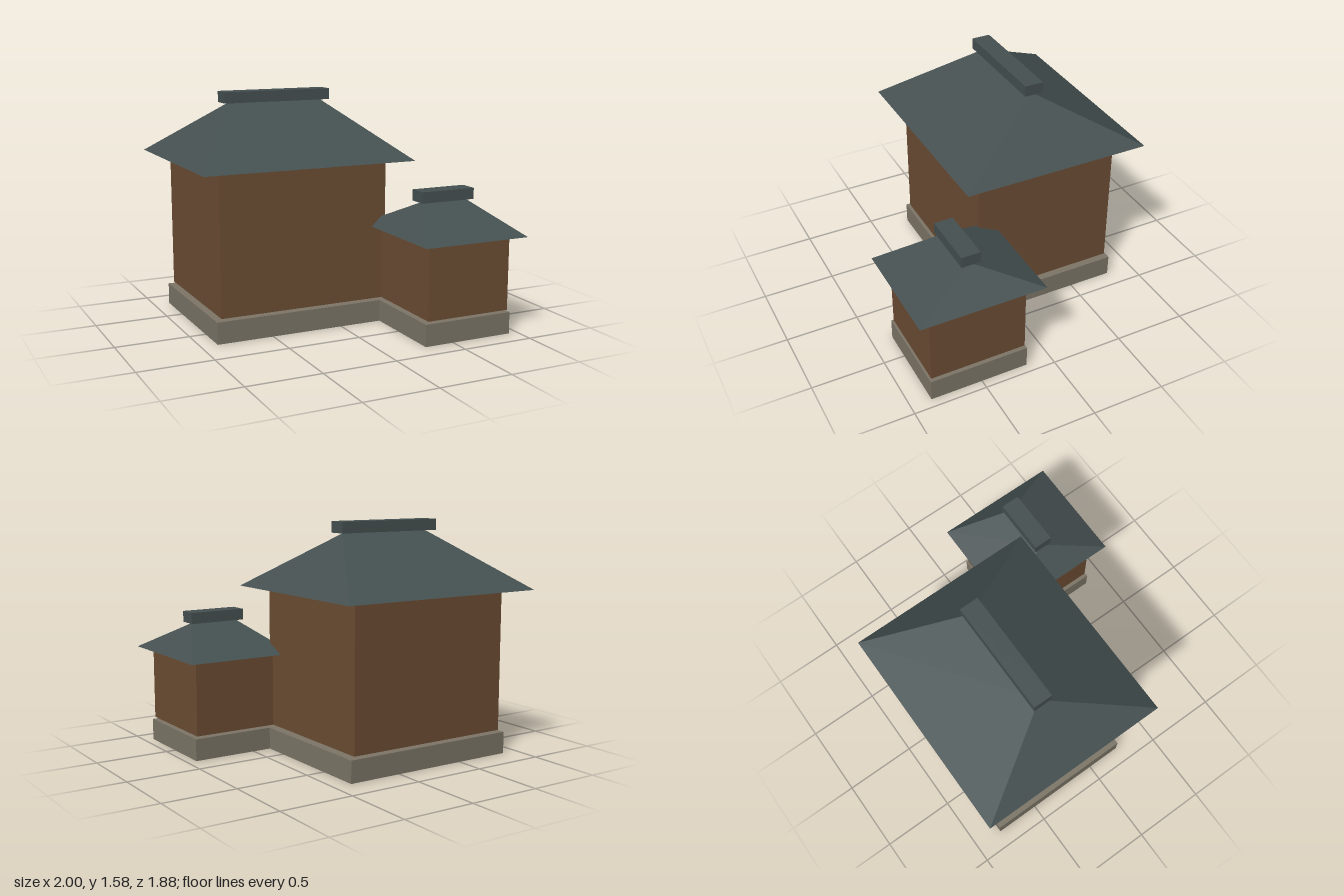
import * as THREE from 'three';

const mat = (name, color) =>
  new THREE.MeshStandardMaterial({ name, color, flatShading: true, side: THREE.DoubleSide });

// Box given by its limits on each axis; open boxes have no bottom face
function box(name, material, [x0, x1], [y0, y1], [z0, z1], open = false) {
  const geo = new THREE.BoxGeometry(x1 - x0, y1 - y0, z1 - z0);
  if (open) {
    const index = Array.from(geo.index.array);
    index.splice(18, 6);
    geo.setIndex(index);
    geo.clearGroups();
  }
  geo.translate((x0 + x1) / 2, (y0 + y1) / 2, (z0 + z1) / 2);
  const mesh = new THREE.Mesh(geo, material);
  mesh.name = name;
  return mesh;
}

// Hipped roof shell: four slopes rising from the eaves to a ridge along x
function hipRoof(name, material, [x0, x1], [y0, y1], [z0, z1], [r0, r1]) {
  const zm = (z0 + z1) / 2;
  const fl = [x0, y0, z1], fr = [x1, y0, z1], br = [x1, y0, z0], bl = [x0, y0, z0];
  const rl = [r0, y1, zm], rr = [r1, y1, zm];
  const faces = [
    fl, fr, rr, fl, rr, rl, // front
    br, bl, rl, br, rl, rr, // back
    fr, br, rr, // +x hip
    bl, fl, rl, // -x hip
  ];
  const geo = new THREE.BufferGeometry();
  geo.setAttribute('position', new THREE.Float32BufferAttribute(faces.flat(), 3));
  geo.computeVertexNormals();
  const mesh = new THREE.Mesh(geo, material);
  mesh.name = name;
  return mesh;
}

function house(name, m, d) {
  const g = new THREE.Group();
  g.name = name;
  g.add(
    box('foundation', m.stone, d.base.x, [0, 0.148], d.base.z, true),
    box('walls', m.wood, d.wall.x, [0.163, d.eave], d.wall.z),
    hipRoof('roof', m.slate, d.roof.x, [d.eave, d.peak], d.roof.z, d.ridge),
    box('ridgeCap', m.slate, d.cap.x, [d.peak + 0.003, d.peak + 0.078], d.cap.z, true),
  );
  return g;
}

export function createModel() {
  const m = {
    stone: mat('stone', 0x7c7567),
    wood: mat('brown wood', 0x6c4d33),
    slate: mat('slate roof', 0x455051),
  };
  const model = new THREE.Group();
  model.name = 'twoHouses';

  const main = house('mainHouse', m, {
    base: { x: [-0.888, 0.373], z: [-0.806, 0.238] },
    wall: { x: [-0.852, 0.338], z: [-0.788, 0.221] },
    roof: { x: [-1, 0.485], z: [-0.94, 0.366] },
    eave: 1.122, peak: 1.497, ridge: [-0.6, 0.086],
    cap: { x: [-0.642, 0.128], z: [-0.352, -0.222] },
  });

  const annex = house('smallHouse', m, {
    base: { x: [0.294, 0.936], z: [0.174, 0.857] },
    wall: { x: [0.316, 0.921], z: [0.184, 0.847] },
    roof: { x: [0.237, 1], z: [0.078, 0.94] },
    eave: 0.668, peak: 0.87, ridge: [0.45, 0.786],
    cap: { x: [0.421, 0.815], z: [0.446, 0.576] },
  });

  // Short posts carrying the small house through its foundation
  for (const x of [0.457, 0.67]) {
    for (const z of [0.277, 0.65]) {
      const post = new THREE.Mesh(new THREE.CylinderGeometry(0.027, 0.027, 0.145, 8), m.wood);
      post.name = 'post';
      post.position.set(x, 0.0925, z);
      annex.add(post);
    }
  }

  model.add(main, annex);
  return model;
}
